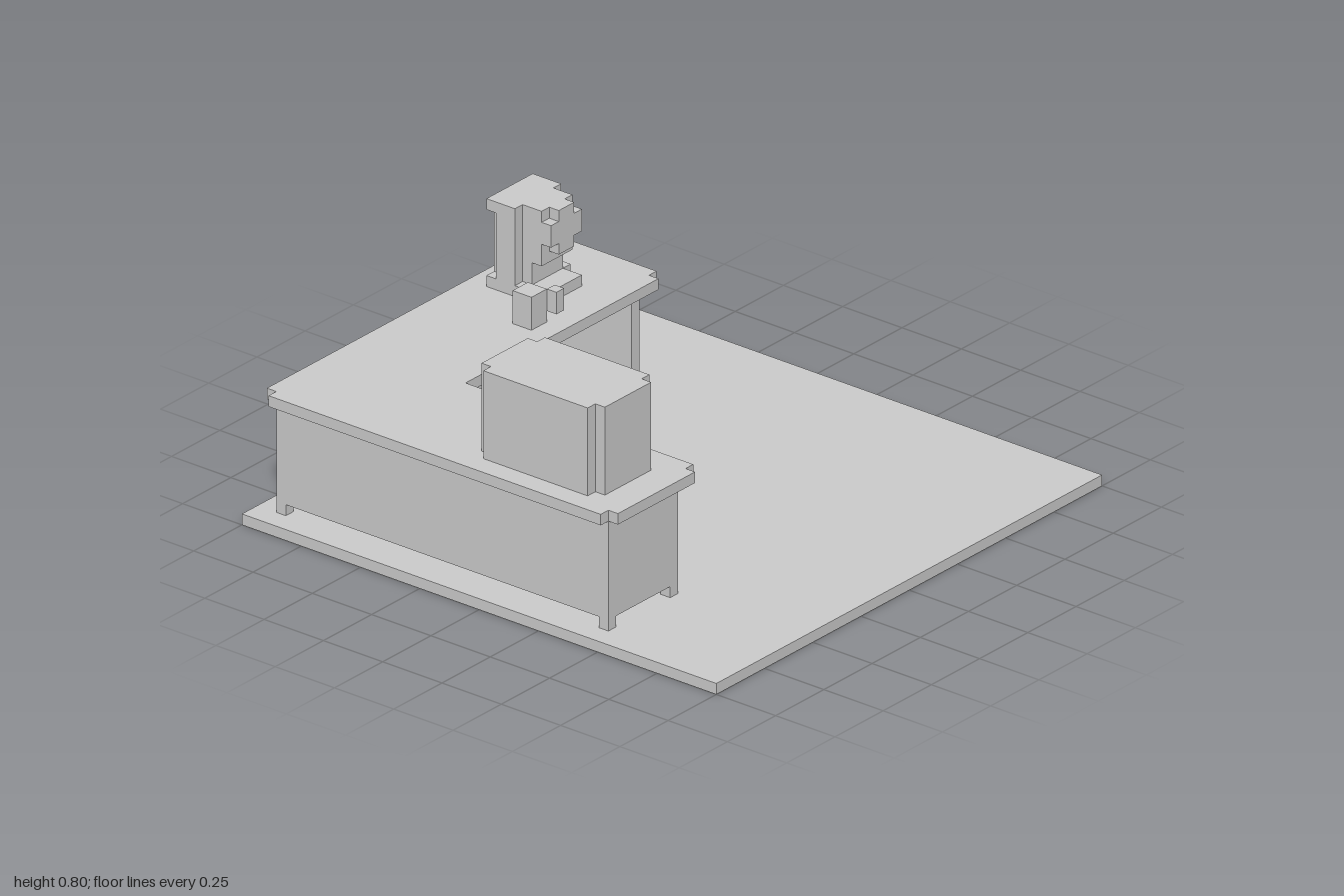
import * as THREE from 'three';

const U = 0.04; // one block unit
const material = new THREE.MeshStandardMaterial({ color: 0xcccccc, flatShading: true });

// Box between two corners, given in block units
function block(parent, name, x0, x1, y0, y1, z0, z1) {
  const geo = new THREE.BoxGeometry((x1 - x0) * U, (y1 - y0) * U, (z1 - z0) * U);
  const mesh = new THREE.Mesh(geo, material);
  mesh.position.set((x0 + x1) * U / 2, (y0 + y1) * U / 2, (z0 + z1) * U / 2);
  mesh.name = name;
  parent.add(mesh);
}

// Flat outline of [x, z] corners, raised from y0 to y1
function slab(parent, name, points, y0, y1) {
  const shape = new THREE.Shape(points.map(([x, z]) => new THREE.Vector2(x * U, -z * U)));
  const geo = new THREE.ExtrudeGeometry(shape, { depth: (y1 - y0) * U, bevelEnabled: false });
  geo.rotateX(-Math.PI / 2).translate(0, y0 * U, 0);
  const mesh = new THREE.Mesh(geo, material);
  mesh.name = name;
  parent.add(mesh);
}

// Rectangle with a one-block notch at each corner
function notched(x0, x1, z0, z1) {
  return [
    [x0 + 1, z0], [x1 - 1, z0], [x1 - 1, z0 + 1], [x1, z0 + 1],
    [x1, z1 - 1], [x1 - 1, z1 - 1], [x1 - 1, z1], [x0 + 1, z1],
    [x0 + 1, z1 - 1], [x0, z1 - 1], [x0, z0 + 1], [x0 + 1, z0 + 1],
  ];
}

function group(parent, name) {
  const g = new THREE.Group();
  g.name = name;
  parent.add(g);
  return g;
}

export function createModel() {
  const model = new THREE.Group();
  model.name = 'cornerDeskScene';

  block(model, 'floor', -25, 25, 0, 1, -25, 25);

  // L-shaped desk
  const desk = group(model, 'desk');
  slab(desk, 'deskTop', [
    [-23, -24], [13, -24], [13, -23], [14, -23], [14, -13], [13, -13], [13, -12],
    [-12, -12], [-12, 12], [-13, 12], [-13, 13], [-23, 13], [-23, 12], [-24, 12],
    [-24, -23], [-23, -23],
  ], 11, 12);
  for (const [x, z] of [[-23, -23], [-23, 11], [-15, 11], [12, -23], [12, -15]]) {
    block(desk, 'leg', x, x + 1, 1, 11, z, z + 1);
  }
  block(desk, 'backPanel', -22, 12, 2, 11, -23, -22);
  block(desk, 'sidePanel', -23, -22, 2, 11, -22, 11);
  block(desk, 'frontEndPanel', -22, -15, 2, 11, 11, 12);
  block(desk, 'sideEndPanel', 12, 13, 2, 11, -22, -15);

  // Cabinet standing on the desk
  slab(model, 'cabinet', notched(-22, -14, -3, 10), 12, 20);

  // Coffee machine
  const machine = group(model, 'coffeeMachine');
  slab(machine, 'base', [
    [3, -22], [9, -22], [9, -18], [8, -18], [8, -16], [4, -16], [4, -18], [3, -18],
  ], 12, 13);
  slab(machine, 'column', notched(3, 9, -22, -18), 13, 19);
  slab(machine, 'lid', [
    [3, -22], [9, -22], [9, -19], [8, -19], [8, -18], [4, -18], [4, -19], [3, -19],
  ], 19, 20);
  block(machine, 'head', 4, 8, 15, 20, -18, -17);
  block(machine, 'headFace', 4, 8, 17, 19, -17, -16);
  block(machine, 'headFaceTop', 5, 7, 19, 20, -17, -16);
  block(machine, 'spout', 5, 7, 16, 17, -17, -16);

  // Mug with a handle on its corner
  const mug = group(model, 'mug');
  block(mug, 'mugBody', -1, 1, 12, 15, -16, -14);
  block(mug, 'mugHandle', 1, 2, 13, 15, -14, -13);

  return model;
}
